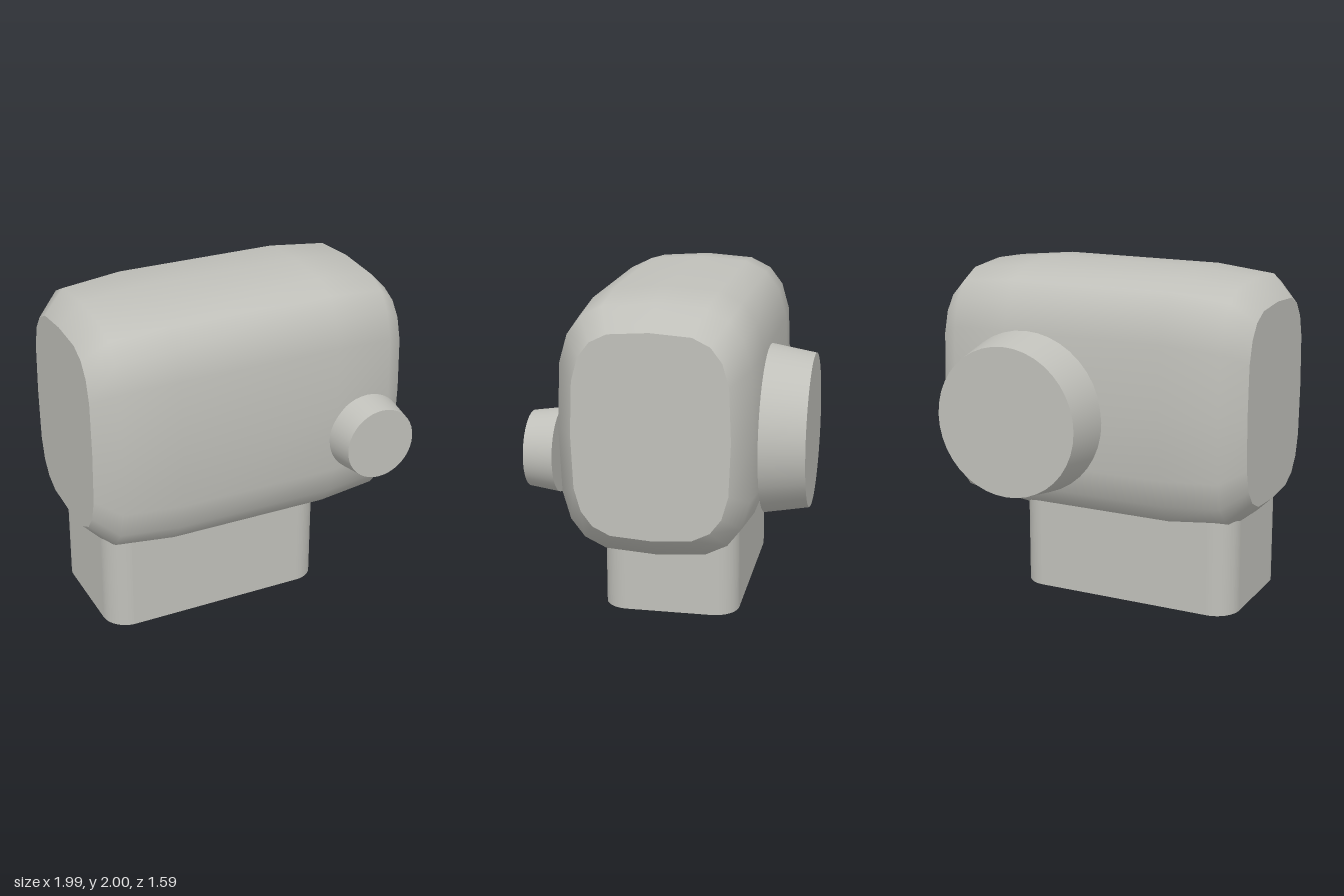
import * as THREE from 'three';

const SIDES = 20;
const CENTRE_Y = 1.2375, CENTRE_Z = 0.04;

// One softly squared ring across the body
function ring(x, halfZ, halfY) {
  const soft = (v) => Math.sign(v) * Math.pow(Math.abs(v), 0.557);
  return Array.from({ length: SIDES }, (_, i) => {
    const t = (i / SIDES) * Math.PI * 2;
    const s = Math.abs(Math.sin(t)) < 1e-9 ? 0 : Math.sin(t);
    const c = Math.abs(Math.cos(t)) < 1e-9 ? 0 : Math.cos(t);
    return [x, CENTRE_Y + halfY * soft(c), CENTRE_Z + halfZ * soft(s)];
  });
}

function geometryFrom(points, index) {
  const g = new THREE.BufferGeometry();
  g.setAttribute('position', new THREE.Float32BufferAttribute(points.flat(), 3));
  g.setIndex(index);
  g.computeVertexNormals();
  return g;
}

export function createModel() {
  const model = new THREE.Group();
  model.name = 'model';
  const grey = new THREE.MeshStandardMaterial({ color: 0xc0c0ba });
  grey.name = 'warm grey';

  const add = (name, geometry, x = 0, y = 0, z = 0) => {
    const mesh = new THREE.Mesh(geometry, grey);
    mesh.name = name;
    mesh.position.set(x, y, z);
    model.add(mesh);
    return mesh;
  };

  // Body shell lofted along x: position, half depth, half height
  const sections = [
    [-0.995, 0.45, 0.595], [-0.86, 0.555, 0.725], [-0.5, 0.58, 0.7625],
    [0.5, 0.58, 0.7625], [0.86, 0.555, 0.725], [0.995, 0.45, 0.595],
  ];
  const rings = sections.map((s) => ring(...s));
  const index = [];
  for (let r = 0; r < rings.length - 1; r++) {
    for (let i = 0; i < SIDES; i++) {
      const a = r * SIDES + i, b = r * SIDES + ((i + 1) % SIDES);
      index.push(a, b, a + SIDES, b, b + SIDES, a + SIDES);
    }
  }
  add('bodyShell', geometryFrom(rings.flat(), index));

  // Flat end faces of the body
  for (const side of [-1, 1]) {
    const rim = rings[side > 0 ? rings.length - 1 : 0];
    const fan = [];
    for (let i = 0; i < SIDES; i++) {
      const j = (i + 1) % SIDES;
      fan.push(SIDES, side > 0 ? i : j, side > 0 ? j : i);
    }
    const points = [...rim, [side * 0.995, CENTRE_Y, CENTRE_Z]];
    add(side > 0 ? 'leftEndFace' : 'rightEndFace', geometryFrom(points, fan));
  }

  // Foot: rounded rectangle rising into the body
  const w = 0.7, d = 0.41, r = 0.15;
  const outline = new THREE.Shape();
  outline.absarc(w - r, d - r, r, 0, Math.PI / 2);
  outline.absarc(-w + r, d - r, r, Math.PI / 2, Math.PI);
  outline.absarc(-w + r, -d + r, r, Math.PI, Math.PI * 1.5);
  outline.absarc(w - r, -d + r, r, Math.PI * 1.5, Math.PI * 2);
  const corner = new THREE.ExtrudeGeometry(outline, { depth: 0.7, bevelEnabled: false, curveSegments: 10 });
  corner.rotateX(-Math.PI / 2);
  add('foot', corner, -0.2, 0, 0.04);

  // Tapered round knobs, narrowing away from the body
  const knob = (name, rOuter, rInner, depth, x, y, z, dir) => {
    const g = new THREE.CylinderGeometry(rOuter, rInner, depth, 40);
    g.rotateX(dir * Math.PI / 2);
    add(name, g, x, y, z + dir * depth / 2);
  };
  knob('frontKnob', 0.22, 0.245, 0.175, 0.7, 1.06, 0.615, 1);
  knob('backDial', 0.45, 0.495, 0.26, 0.35, 1.15, -0.535, -1);

  return model;
}
